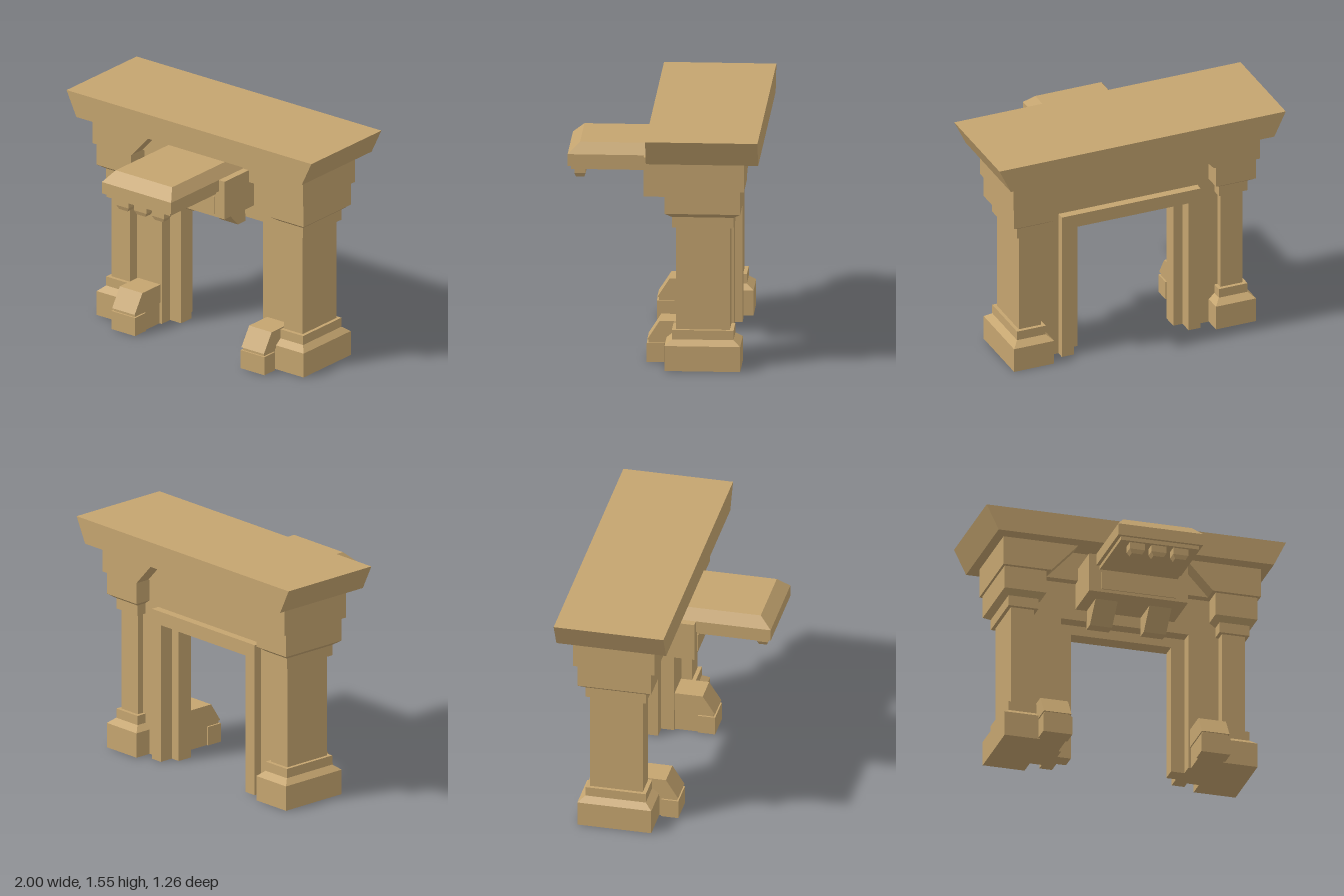
import * as THREE from 'three';

const stone = new THREE.MeshStandardMaterial({ color: 0xc4a46f });
stone.name = 'sandstone';

// Block between limits; the optional top rectangle [x0, x1, z0, z1] tapers it
function block(name, x0, x1, y0, y1, z0, z1, top = [x0, x1, z0, z1]) {
  const g = new THREE.BoxGeometry(1, 1, 1);
  const p = g.attributes.position;
  for (let i = 0; i < p.count; i++) {
    const up = p.getY(i) > 0;
    const [a, b, c, d] = up ? top : [x0, x1, z0, z1];
    p.setXYZ(i, p.getX(i) > 0 ? b : a, up ? y1 : y0, p.getZ(i) > 0 ? d : c);
  }
  g.computeVertexNormals();
  const m = new THREE.Mesh(g, stone);
  m.name = name;
  return m;
}

// Outline in x, y extruded from z0 to z1
function slice(name, points, z0, z1) {
  const shape = new THREE.Shape(points.map(([x, y]) => new THREE.Vector2(x, y)));
  const g = new THREE.ExtrudeGeometry(shape, { depth: z1 - z0, bevelEnabled: false });
  g.translate(0, 0, z0);
  const m = new THREE.Mesh(g, stone);
  m.name = name;
  return m;
}

// Outline in z, y extruded from x0 to x1
function sideSlice(name, points, x0, x1) {
  const m = slice(name, points.map(([z, y]) => [-z, y]), x0, x1);
  m.geometry.rotateY(Math.PI / 2);
  return m;
}

// Doorway surround: outer half width and top, inner half width and top
function portal(name, ox, oy, ix, iy, z0, z1) {
  return slice(name, [[-ox, 0], [-ox, oy], [ox, oy], [ox, 0],
    [ix, 0], [ix, iy], [-ix, iy], [-ix, 0]], z0, z1);
}

function createPillar(s) {
  const pillar = new THREE.Group();
  pillar.name = s > 0 ? 'leftPillar' : 'rightPillar';
  const cx = 0.705 * s;
  const course = (name, h, y0, y1, z0, z1, th, tz0, tz1) => pillar.add(
    block(name, cx - h, cx + h, y0, y1, z0, z1,
      th ? [cx - th, cx + th, tz0, tz1] : undefined));

  course('plinth', 0.14, 0, 0.165, -0.51, -0.025);
  course('plinthSlope', 0.14, 0.165, 0.2, -0.51, -0.025, 0.1, -0.465, -0.07);
  course('baseCollar', 0.1, 0.2, 0.262, -0.465, -0.07);
  course('shaft', 0.077, 0.262, 0.94, -0.44, -0.095);
  course('neckCollar', 0.1, 0.94, 1.01, -0.465, -0.07);
  course('capitalSlope', 0.1, 1.01, 1.04, -0.465, -0.07, 0.14, -0.51, -0.025);
  course('capital', 0.14, 1.04, 1.193, -0.51, -0.025);

  // Wide upper block with slanted inner end
  pillar.add(slice('haunch', [[0.36 * s, 1.388], [0.54 * s, 1.193],
    [0.86 * s, 1.193], [0.86 * s, 1.388]], -0.535, 0));

  // Footing in front of the wall
  const f = 0.528 * s;
  pillar.add(block('footBlock', f - 0.097, f + 0.097, 0, 0.125, -0.01, 0.102));
  pillar.add(block('footRear', f - 0.085, f + 0.085, 0, 0.145, -0.17, 0.09));
  pillar.add(sideSlice('footCap', [[0.1, 0.145], [0.02, 0.27], [-0.17, 0.27], [-0.17, 0.145]],
    f - 0.092, f + 0.092));
  return pillar;
}

function createCanopy() {
  const canopy = new THREE.Group();
  canopy.name = 'canopy';
  canopy.add(block('canopyMount', -0.33, 0.33, 1.015, 1.275, -0.17, 0.14));
  canopy.add(block('mountPanel', -0.25, 0.25, 1.035, 1.155, 0.14, 0.147));
  canopy.add(block('canopySlab', -0.283, 0.283, 1.197, 1.275, -0.17, 0.63));
  canopy.add(block('canopyTop', -0.283, 0.283, 1.275, 1.345, -0.17, 0.63,
    [-0.23, 0.23, -0.17, 0.553]));
  canopy.add(block('canopySoffit', -0.26, 0.26, 1.172, 1.197, 0.1, 0.61));
  // Hanging pegs under the front edge
  for (const x of [-0.145, 0, 0.145]) {
    canopy.add(block('peg', x - 0.05, x + 0.05, 1.127, 1.172, 0.52, 0.592));
    canopy.add(block('pegTip', x - 0.035, x + 0.035, 1.1, 1.127, 0.53, 0.582,
      [x - 0.05, x + 0.05, 0.52, 0.592]));
  }
  // Wedge supports
  for (const s of [-1, 1]) {
    canopy.add(sideSlice('corbel', [[0.03, 1.015], [-0.095, 0.885], [-0.17, 0.885], [-0.17, 1.015]],
      0.18 * s - 0.074, 0.18 * s + 0.074));
  }
  return canopy;
}

export function createModel() {
  const model = new THREE.Group();
  model.name = 'stoneGateway';

  // Roof slab flaring outward at both ends
  model.add(slice('roofSlab', [[-0.92, 1.387], [0.92, 1.387], [1, 1.553], [-1, 1.553]], -0.63, 0.09));
  model.add(block('upperBeam', -0.7, 0.7, 1.193, 1.387, -0.43, -0.11));

  // Wall with stepped doorway
  model.add(portal('wall', 0.65, 1.193, 0.425, 0.94, -0.395, -0.165));
  model.add(portal('innerFrame', 0.44, 0.96, 0.335, 0.875, -0.355, -0.25));
  model.add(portal('rearFrame', 0.485, 1.015, 0.4, 0.925, -0.45, -0.35));

  for (const s of [-1, 1]) model.add(createPillar(s));
  model.add(createCanopy());
  return model;
}
